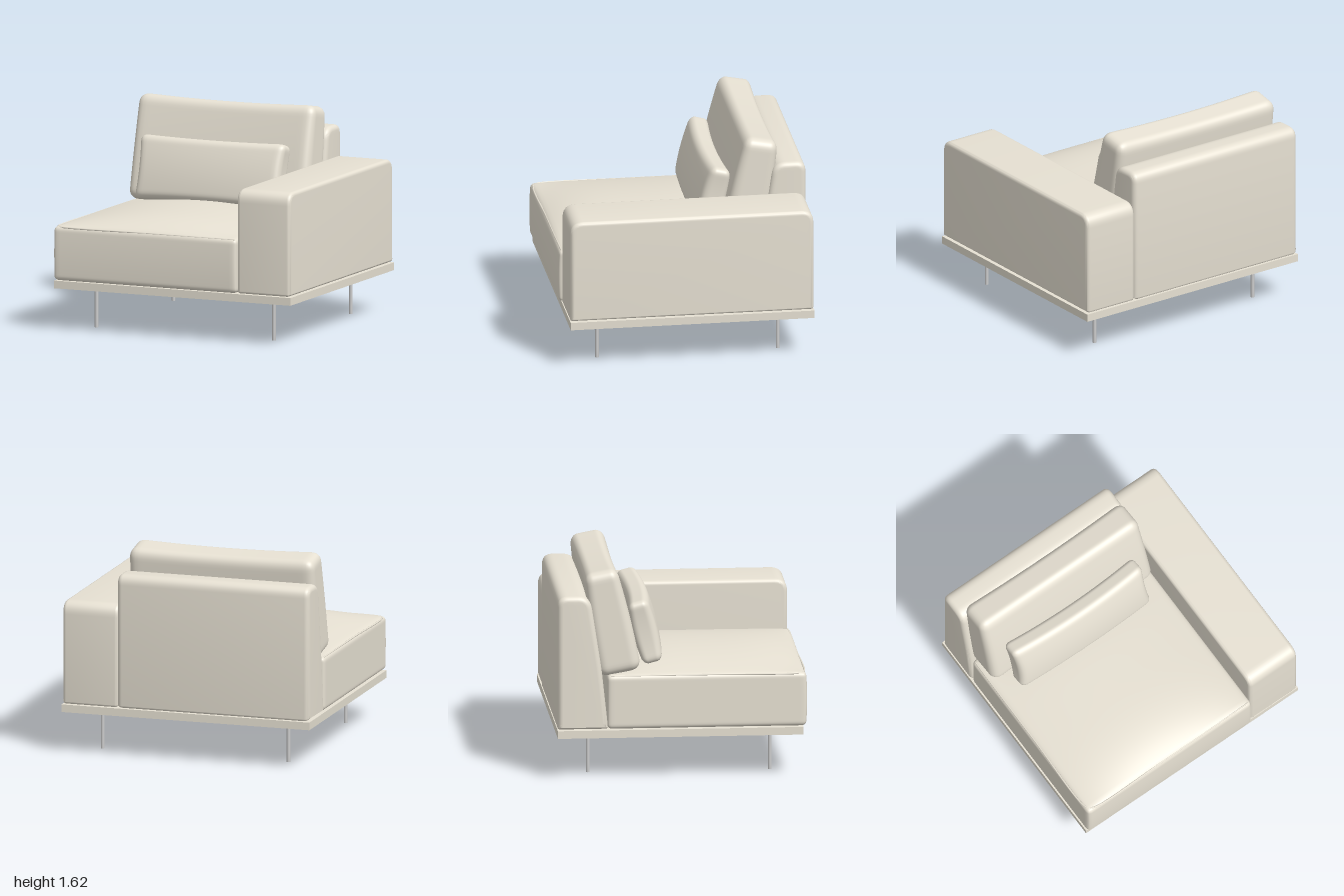
import * as THREE from 'three';
import { mergeVertices, toCreasedNormals } from 'three/addons/utils/BufferGeometryUtils.js';

const fabric = new THREE.MeshStandardMaterial({ color: 0xe6e0d2 });
const metal = new THREE.MeshStandardMaterial({ color: 0xcccccc });

function add(parent, name, geometry, material, x = 0, y = 0, z = 0) {
  const mesh = new THREE.Mesh(geometry, material);
  mesh.name = name;
  mesh.position.set(x, y, z);
  parent.add(mesh);
  return mesh;
}

// Soft rounded block; deform(p, u, v, w) moves each point, u v w run -1..1
function softBlock(w, h, d, r, deform) {
  const n = 32, half = [w / 2, h / 2, d / 2];
  let geo = new THREE.BoxGeometry(2, 2, 2, n, n, n);
  geo.deleteAttribute('uv');
  geo.deleteAttribute('normal');
  geo = mergeVertices(geo, 1e-5);
  const pos = geo.attributes.position;
  const p = new THREE.Vector3(), inner = new THREE.Vector3();
  const limit = new THREE.Vector3(...half).subScalar(r);
  const low = limit.clone().negate();
  for (let i = 0; i < pos.count; i++) {
    // crowd the grid toward the edges, where the rounding is
    const c = [pos.getX(i), pos.getY(i), pos.getZ(i)].map((t) => Math.sin(t * Math.PI / 2));
    p.set(c[0] * half[0], c[1] * half[1], c[2] * half[2]);
    inner.copy(p).clamp(low, limit);
    p.sub(inner).setLength(r).add(inner);
    deform(p, p.x / half[0], p.y / half[1], p.z / half[2]);
    pos.setXYZ(i, p.x, p.y, p.z);
  }
  geo.computeVertexNormals();
  return geo;
}

// Polygon with a rounding radius per corner: [x, y, radius]
function roundedShape(points) {
  const shape = new THREE.Shape();
  const n = points.length;
  points.forEach(([x, y, r], i) => {
    const c = new THREE.Vector2(x, y);
    const toward = (q) => new THREE.Vector2(q[0], q[1]).sub(c).setLength(r).add(c);
    const a = toward(points[(i + n - 1) % n]);
    const b = toward(points[(i + 1) % n]);
    if (i === 0) shape.moveTo(a.x, a.y);
    else shape.lineTo(a.x, a.y);
    shape.quadraticCurveTo(x, y, b.x, b.y);
  });
  shape.closePath();
  return shape;
}

// Side profile (z, y) swept across x from x0 to x1 with rounded side edges
function sidePanel(points, x0, x1, bevel) {
  const geo = new THREE.ExtrudeGeometry(roundedShape(points), {
    depth: x1 - x0 - 2 * bevel, bevelEnabled: true, bevelSize: bevel, bevelThickness: bevel,
    bevelOffset: -bevel, bevelSegments: 6, curveSegments: 10,
  });
  geo.rotateY(-Math.PI / 2);
  geo.translate(x1 - bevel, 0, 0);
  return toCreasedNormals(geo, 0.6);
}

// Rectangle as a path or shape
function rect(target, x0, y0, x1, y1) {
  target.moveTo(x0, y0).lineTo(x1, y0).lineTo(x1, y1).lineTo(x0, y1).closePath();
  return target;
}

// Flat plate hanging 'depth' below y = 0
function plate(shape, depth) {
  return new THREE.ExtrudeGeometry(shape, { depth, bevelEnabled: false }).rotateX(Math.PI / 2);
}

export function createModel() {
  const group = new THREE.Group();
  group.name = 'armchair';

  // Base with two shallow recesses underneath
  const base = new THREE.Group();
  base.name = 'base';
  group.add(base);
  add(base, 'baseTop', new THREE.BoxGeometry(2, 0.03, 1.89), fabric, 0, 0.365, -0.015);
  const underside = rect(new THREE.Shape(), -1, -0.96, 1, 0.93);
  for (const [x0, x1] of [[-0.75, -0.07], [0.07, 0.75]]) {
    underside.holes.push(rect(new THREE.Path(), x0, -0.71, x1, 0.69));
    // metal lining around the recess
    const lining = rect(new THREE.Shape(), x0, -0.71, x1, 0.69);
    lining.holes.push(rect(new THREE.Path(), x0 + 0.008, -0.702, x1 - 0.008, 0.682));
    add(base, 'recessLining', plate(lining, 0.03), metal, 0, 0.35, 0);
  }
  add(base, 'baseUnderside', plate(underside, 0.03), fabric, 0, 0.35, 0);

  // Legs
  for (const x of [-0.75, 0.75]) {
    for (const z of [-0.71, 0.69]) {
      add(group, 'leg', new THREE.CylinderGeometry(0.014, 0.014, 0.35, 16), metal, x, 0.175, z);
    }
  }

  // Armrest
  add(group, 'armrest', sidePanel([
    [-0.955, 0.385, 0.02], [0.93, 0.385, 0.02], [0.93, 1.19, 0.1], [-0.955, 1.19, 0.1],
  ], 0.545, 0.995, 0.03), fabric);

  // Backrest, thicker toward the bottom
  add(group, 'backrest', sidePanel([
    [-0.96, 0.385, 0.02], [-0.57, 0.385, 0.02], [-0.62, 0.85, 0.1],
    [-0.71, 1.43, 0.1], [-0.96, 1.43, 0.08],
  ], -0.995, 0.555, 0.04), fabric);

  // Seat with a crowned top
  add(group, 'seat', softBlock(1.545, 0.42, 1.53, 0.035, (p, u, v, w) => {
    const top = Math.max(0, v);
    p.y += 0.095 * top * (1 - u * u) * (1 - w ** 4);
    if (w > 0) p.z += 0.008 * w * (1 - v * v);
  }), fabric, -0.2225, 0.595, 0.187);

  // Seam along the front and outer side of the seat
  const seam = new THREE.CatmullRomCurve3([
    [0.53, 0.799, 0.932], [-0.2, 0.801, 0.937], [-0.94, 0.799, 0.932],
    [-0.976, 0.799, 0.9], [-0.98, 0.801, 0.2], [-0.976, 0.799, -0.55],
  ].map((q) => new THREE.Vector3(...q)), false, 'centripetal');
  add(group, 'seatSeam', new THREE.TubeGeometry(seam, 60, 0.007, 8), fabric);

  // Large back cushion, hollowed slightly in the middle
  const backCushion = add(group, 'backCushion', softBlock(1.5, 0.82, 0.32, 0.075, (p, u, v) => {
    p.z *= (0.92 - 0.12 * v + 0.08 * (1 - v * v)) * (0.93 + 0.07 * u * u);
    p.x *= 1 - 0.008 * v;
    p.y -= 0.018 * v * (1 - u * u);
  }), fabric, -0.21, 1.21, -0.55);
  backCushion.rotation.x = -0.19;

  // Small lumbar pillow, bowed forward with pinched edges
  const lumbar = add(group, 'lumbarPillow', softBlock(1.23, 0.5, 0.19, 0.055, (p, u, v) => {
    p.z *= 0.78 + 0.22 * (1 - v * v);
    p.z += 0.028 * (1 - u * u);
    p.x -= 0.018 * u * (1 - v * v);
    p.y -= 0.014 * v * (1 - u * u);
  }), fabric, -0.215, 1.1, -0.275);
  lumbar.rotation.x = -0.25;

  return group;
}
